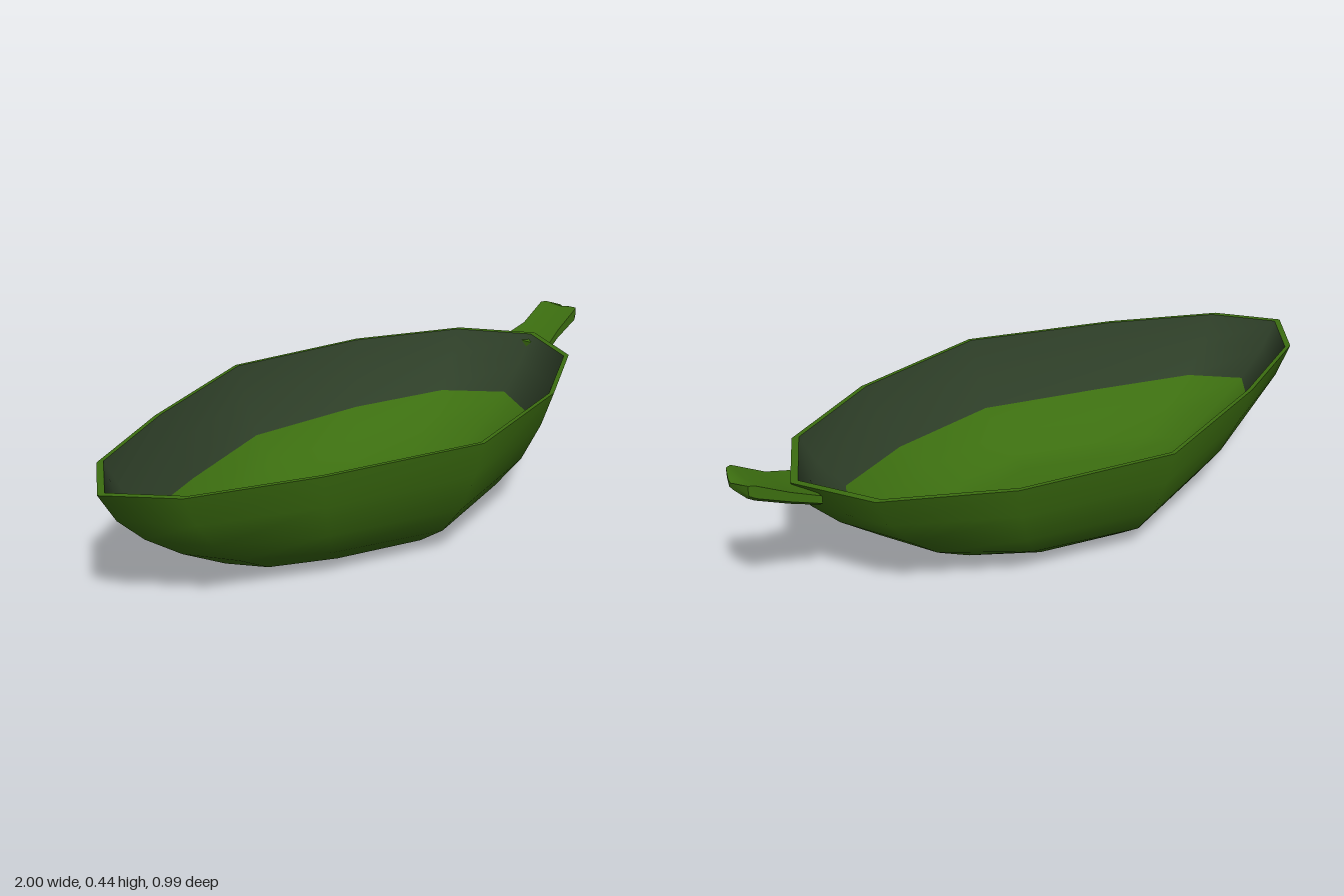
import * as THREE from 'three';
import { toCreasedNormals } from 'three/addons/utils/BufferGeometryUtils.js';

// Joins successive closed loops of [x, y, z] points into a skin
function loft(rows) {
  const n = rows[0].length, index = [];
  for (let r = 0; r < rows.length - 1; r++) {
    for (let i = 0; i < n; i++) {
      const a = r * n + i, b = r * n + (i + 1) % n;
      index.push(a, b, b + n, a, b + n, a + n);
    }
  }
  const geo = new THREE.BufferGeometry();
  geo.setAttribute('position', new THREE.Float32BufferAttribute(rows.flat(2), 3));
  geo.setIndex(index);
  geo.computeVertexNormals();
  return geo;
}

// Half outline of the rim, mirrored into a twelve-sided leaf shape
const CENTRE = -0.08;
const half = [[-1, 0], [-0.87, 0.173], [-0.54, 0.333], [-0.08, 0.495], [0.38, 0.4], [0.71, 0.225], [0.835, 0]];
const outline = [
  ...half.map(([x, z]) => [x, -z]),
  ...half.slice(1, -1).reverse(),
];

// Scaled outline; the height runs from ySide at the flanks to yTip at the ends
function ring(scale, ySide, yTip) {
  return outline.map(([x, z]) => {
    const w = Math.abs(x - CENTRE) / 0.92;
    return [CENTRE + (x - CENTRE) * scale, ySide + (yTip - ySide) * w * w, z * scale];
  });
}

export function createModel() {
  const group = new THREE.Group();
  const green = new THREE.MeshStandardMaterial({ color: 0x3c6e10 });
  const dark = new THREE.MeshStandardMaterial({ color: 0x2f4029 });
  const add = (name, geo, material) => {
    const mesh = new THREE.Mesh(geo, material);
    mesh.name = name;
    group.add(mesh);
  };

  // Rounded hull
  add('outerShell', loft([
    ring(1, 0.375, 0.375),
    ring(0.942, 0.27, 0.287),
    ring(0.85, 0.155, 0.205),
    ring(0.72, 0.07, 0.12),
    ring(0.555, 0.013, 0.035),
    ring(0.375, 0.004, 0.008),
    ring(0, 0, 0),
  ]), green);

  // Narrow lip
  add('rim', loft([ring(0.975, 0.375, 0.375), ring(1, 0.375, 0.375)]), green);

  // Dark band around the upper inside
  add('innerBand', loft([
    ring(0.825, 0.16, 0.205),
    ring(0.922, 0.275, 0.29),
    ring(0.975, 0.375, 0.375),
  ]), dark);

  // Hollow floor below the band
  add('innerBowl', loft([
    ring(0, 0.028, 0.028),
    ring(0.365, 0.03, 0.034),
    ring(0.54, 0.038, 0.058),
    ring(0.695, 0.088, 0.132),
    ring(0.825, 0.16, 0.205),
  ]), green);

  // Upswept stem handle: [x, bottom, top, half width]
  const stations = [
    [0.79, 0.325, 0.36, 0.088],
    [0.87, 0.35, 0.39, 0.07],
    [0.965, 0.393, 0.442, 0.07],
    [0.982, 0.402, 0.443, 0.062],
    [1.0, 0.416, 0.436, 0.014],
  ];
  const sections = stations.map(([x, lo, hi, w]) => [
    [x, hi, -w], [x, hi - 0.006, 0], [x, hi, w],
    [x, lo + 0.012, w], [x, lo, w * 0.8], [x, lo, -w * 0.8], [x, lo + 0.012, -w],
  ]);
  const cap = ([x, lo, hi]) => Array.from({ length: 7 }, () => [x, (lo + hi) / 2, 0]);
  const handle = loft([cap(stations[0]), ...sections, cap(stations[4])]);
  add('handle', toCreasedNormals(handle, 0.7), green);

  return group;
}
